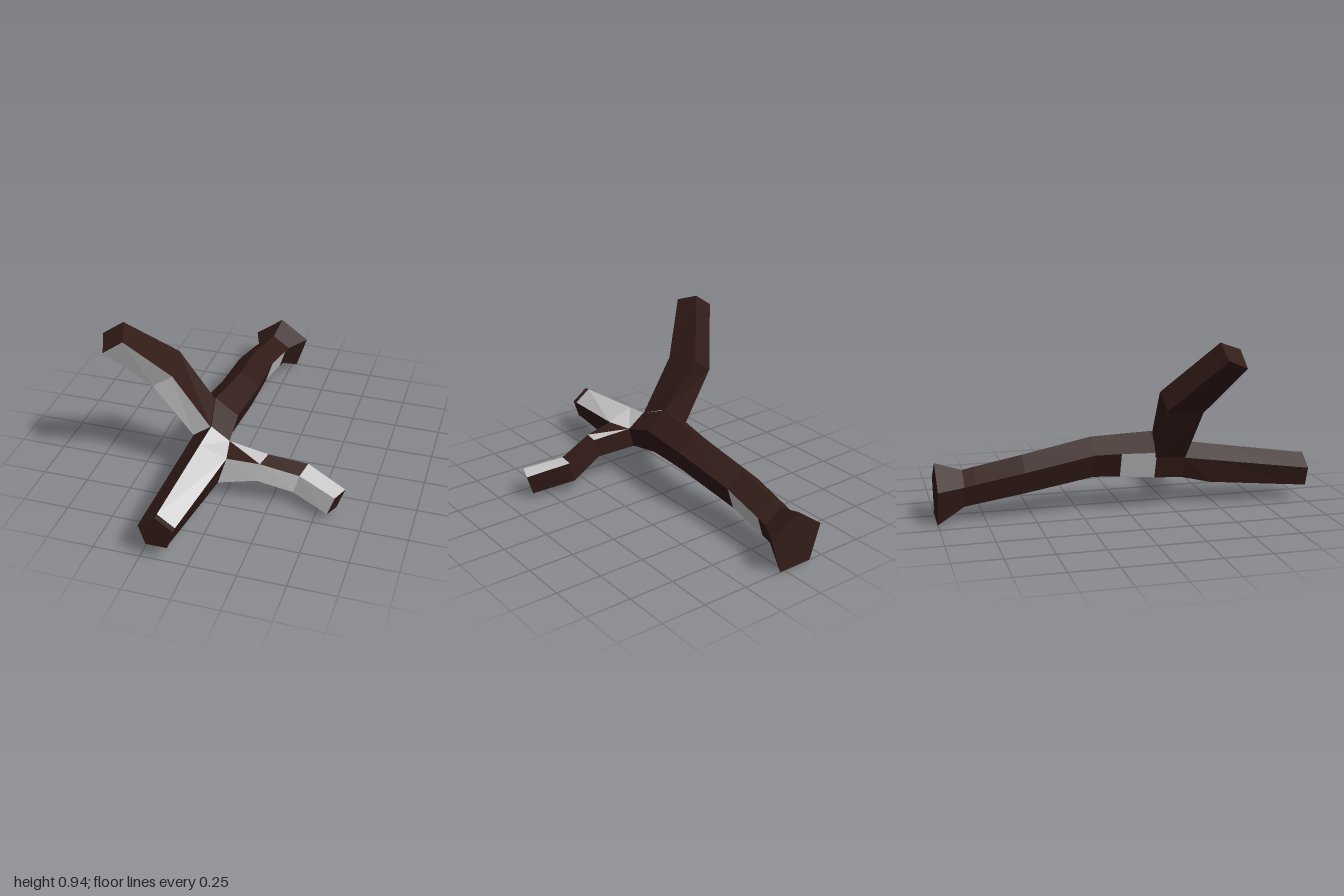
import * as THREE from 'three';

const barkMaterial = new THREE.MeshStandardMaterial({ color: 0x321c18, flatShading: true, side: THREE.DoubleSide });
const woodMaterial = new THREE.MeshStandardMaterial({ color: 0xcccccc, flatShading: true, side: THREE.DoubleSide });

// Regular five-sided cross-section, apex up, going apex, +x side, bottom, -x side
function pentagon(z, cx, cy, r) {
  return Array.from({ length: 5 }, (_, k) => {
    const a = (k * Math.PI * 2) / 5;
    return [cx + r * Math.sin(a), cy + r * Math.cos(a), z];
  });
}

function makeMesh(name, triangles, material) {
  const geometry = new THREE.BufferGeometry();
  geometry.setAttribute('position', new THREE.Float32BufferAttribute(triangles.flat(2), 3));
  geometry.computeVertexNormals();
  const mesh = new THREE.Mesh(geometry, material);
  mesh.name = name;
  return mesh;
}

// Skins a limb through its rings; isBare(segment, side, half) picks peeled faces
function limb(name, rings, isBare, capStart = false) {
  const bark = [], wood = [];
  const n = rings[0].length;
  for (let s = 0; s < rings.length - 1; s++) {
    for (let k = 0; k < n; k++) {
      const j = (k + 1) % n;
      const a = rings[s][k], b = rings[s][j], c = rings[s + 1][j], d = rings[s + 1][k];
      [[a, d, b], [d, c, b]].forEach((tri, half) => (isBare(s, k, half) ? wood : bark).push(tri));
    }
  }
  const first = rings[0], last = rings[rings.length - 1];
  for (let i = 1; i < n - 1; i++) {
    bark.push([last[0], last[i + 1], last[i]]);
    if (capStart) bark.push([first[0], first[i], first[i + 1]]);
  }
  const group = new THREE.Group();
  group.name = name;
  group.add(makeMesh(name + 'Bark', bark, barkMaterial), makeMesh(name + 'BareWood', wood, woodMaterial));
  return group;
}

export function createModel() {
  const model = new THREE.Group();
  model.name = 'fallenBranch';

  // Main stem, from the flared butt at the back to the front tip
  const stem = [
    pentagon(-1, -0.07, 0.136, 0.168),
    pentagon(-0.86, -0.085, 0.162, 0.1),
    pentagon(-0.8, -0.09, 0.175, 0.102),
    pentagon(-0.55, -0.108, 0.223, 0.106),
    pentagon(-0.18, -0.09, 0.287, 0.112),
    pentagon(-0.04, -0.105, 0.29, 0.118),
    pentagon(0.14, -0.13, 0.29, 0.13),
    pentagon(0.31, -0.1, 0.247, 0.105),
    // wider ring where the left twig leaves
    [[-0.115, 0.33, 0.46], [0.03, 0.275, 0.46], [-0.02, 0.11, 0.46], [-0.18, 0.13, 0.46], [-0.21, 0.26, 0.46]],
    pentagon(0.97, -0.16, 0.165, 0.095),
    pentagon(1, -0.16, 0.163, 0.095),
  ];
  model.add(limb('stem', stem, (s, k) =>
    (k === 0 && (s === 7 || s === 8)) ||      // peeled top of the front arm
    (k === 1 && s === 2) ||                   // patch on the left flank
    (k === 2 && s >= 1 && s <= 3) ||          // peeled underside
    (k === 3 && s === 5), true));             // patch on the right flank

  // Raised side branch: front upper, front lower, back lower, back upper
  const raised = [
    [[-0.105, 0.35, 0.312], [-0.2, 0.28, 0.312], [-0.265, 0.31, 0.13], [-0.13, 0.42, 0.15]],
    [[-0.3, 0.635, 0.33], [-0.405, 0.565, 0.34], [-0.44, 0.59, 0.14], [-0.33, 0.67, 0.13]],
    [[-0.49, 0.9, 0.5], [-0.6, 0.82, 0.5], [-0.64, 0.87, 0.39], [-0.53, 0.945, 0.38]],
  ];
  model.add(limb('raisedBranch', raised, (s, k) => k === 0));

  // Low drooping twig: front bottom, front top, back top, back bottom
  const low = [
    [[-0.02, 0.112, 0.46], [0.03, 0.275, 0.46], [0, 0.28, 0.31], [-0.03, 0.165, 0.31]],
    [[0.18, 0.145, 0.43], [0.2, 0.255, 0.43], [0.22, 0.26, 0.34], [0.19, 0.15, 0.34]],
    [[0.37, 0.083, 0.39], [0.4, 0.19, 0.385], [0.42, 0.2, 0.28], [0.385, 0.08, 0.29]],
    [[0.57, 0.045, 0.47], [0.605, 0.15, 0.465], [0.64, 0.145, 0.37], [0.6, 0.03, 0.38]],
  ];
  model.add(limb('lowTwig', low, (s, k, half) =>
    k === 0 || (k === 1 && (s === 2 || (s === 0 && half === 1)))));

  return model;
}
